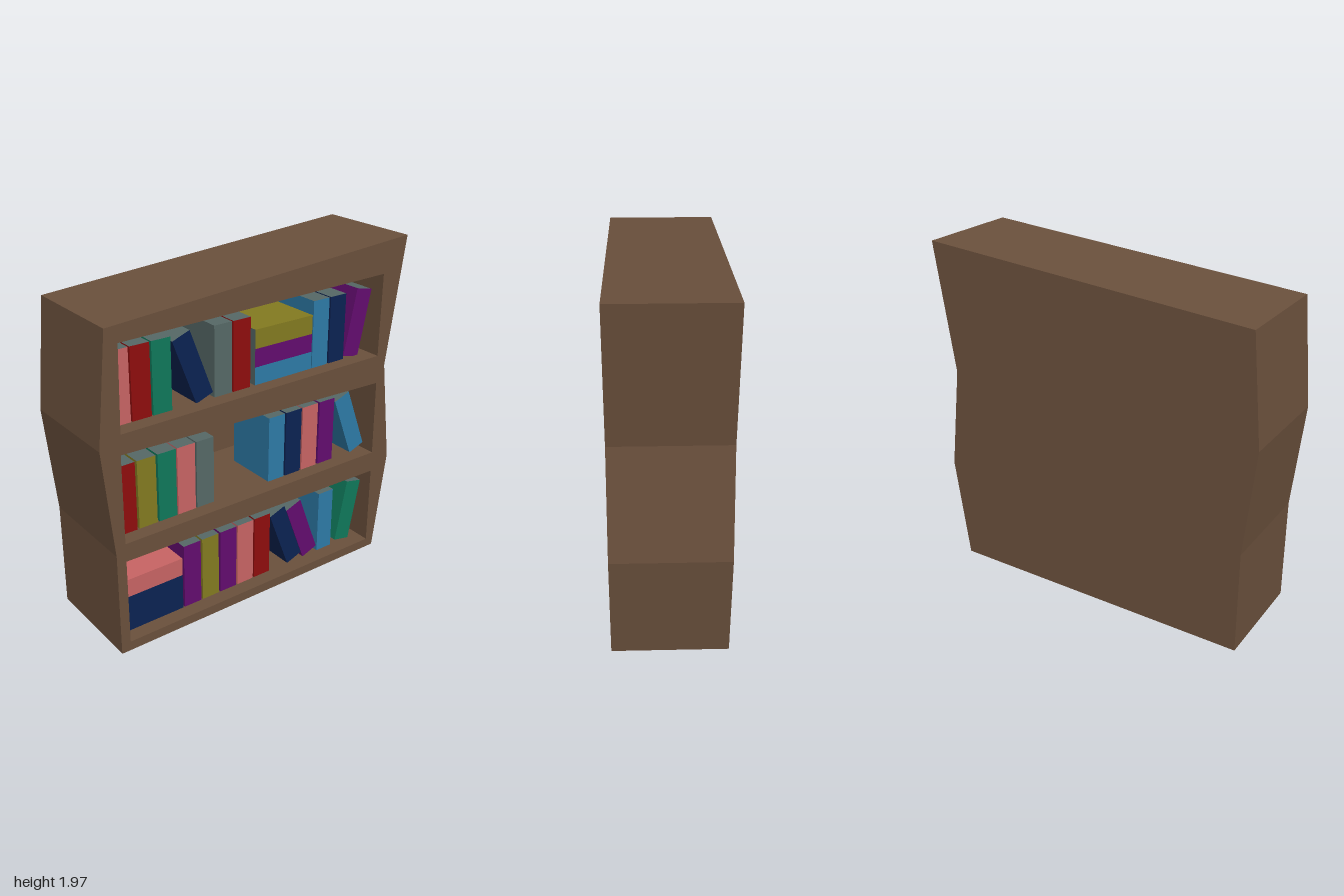
import * as THREE from 'three';

const mat = (name, hex) => {
  const m = new THREE.MeshStandardMaterial({ color: hex });
  m.name = name;
  return m;
};

export function createModel() {
  const group = new THREE.Group();
  const wood = mat('wood', 0x6a503c);
  const C = {
    pink: mat('pink', 0xc86464),
    red: mat('red', 0x8f0d0d),
    green: mat('green', 0x0f785a),
    navy: mat('navy', 0x0b2252),
    grey: mat('pageGrey', 0x566866),
    yellow: mat('olive', 0x837a20),
    purple: mat('purple', 0x620c6e),
    blue: mat('blue', 0x2d7aa6),
  };

  const toPoints = (pts) => pts.map(([x, y]) => new THREE.Vector2(x, y));

  // Crooked cabinet outline and the three shelf openings
  const outline = [[-0.94, 0], [0.89, 0], [0.97, 0.61], [0.89, 1.22], [1, 1.97], [-0.94, 1.83], [-1, 1.22], [-0.94, 0.61]];
  const openings = [
    [[-0.885, 0.055], [0.84, 0.055], [0.84, 0.54], [-0.885, 0.56]],
    [[-0.885, 0.665], [0.84, 0.665], [0.835, 1.12], [-0.885, 1.17]],
    [[-0.88, 1.28], [0.83, 1.29], [0.835, 1.775], [-0.87, 1.745]],
  ];
  const slab = (name, holes, z0, z1) => {
    const shape = new THREE.Shape(toPoints(outline));
    holes.forEach((h) => shape.holes.push(new THREE.Path(toPoints(h))));
    const geo = new THREE.ExtrudeGeometry(shape, { depth: z1 - z0, bevelEnabled: false });
    const mesh = new THREE.Mesh(geo, wood);
    mesh.name = name;
    mesh.position.z = z0;
    group.add(mesh);
  };
  slab('shelfFrame', openings, -0.26, 0.31);
  slab('backPanel', [], -0.31, -0.26);

  // Book: coloured covers and spine, grey pages at top, bottom and back
  const H = 0.395, D = 0.325, Z = 0.062;
  const book = (name, color, x, y, angle = 0, width = 0.112) => {
    const c = C[color], p = C.grey;
    const mesh = new THREE.Mesh(new THREE.BoxGeometry(width, H, D), [c, c, p, p, c, p]);
    mesh.name = name;
    mesh.position.set(x, y, Z);
    mesh.rotation.z = angle;
    group.add(mesh);
  };

  // Upright books per shelf: [floor height, [colour, centre x]...]
  const upright = [
    [0.055, ['purple', -0.421], ['yellow', -0.298], ['purple', -0.174], ['pink', -0.052], ['red', 0.07], ['blue', 0.558]],
    [0.665, ['red', -0.816], ['yellow', -0.692], ['green', -0.568], ['pink', -0.448], ['grey', -0.327],
      ['blue', 0.163], ['navy', 0.286], ['pink', 0.408], ['purple', 0.533]],
    [1.283, ['pink', -0.825], ['red', -0.704], ['green', -0.582], ['grey', -0.206], ['red', -0.085], ['blue', 0.46], ['navy', 0.583]],
  ];
  upright.forEach(([floor, ...books]) =>
    books.forEach(([color, x]) => book('uprightBook', color, x, floor + H / 2)));

  // Leaning books: colour, centre x, centre y, tilt
  [
    ['navy', 0.25, 0.258, 0.36], ['purple', 0.372, 0.258, 0.36], ['green', 0.745, 0.258, -0.2],
    ['blue', 0.718, 0.866, 0.36], ['navy', -0.395, 1.483, 0.36], ['purple', 0.737, 1.487, -0.21],
  ].forEach((b) => book('leaningBook', ...b));

  // Books lying in stacks: colour, centre x, centre y, thickness
  [
    ['navy', -0.686, 0.163, 0.216], ['pink', -0.686, 0.326, 0.108],
    ['blue', 0.2, 1.335, 0.105], ['purple', 0.2, 1.439, 0.105], ['yellow', 0.2, 1.546, 0.108],
  ].forEach(([color, x, y, t]) => book('stackedBook', color, x, y, Math.PI / 2, t));

  return group;
}
